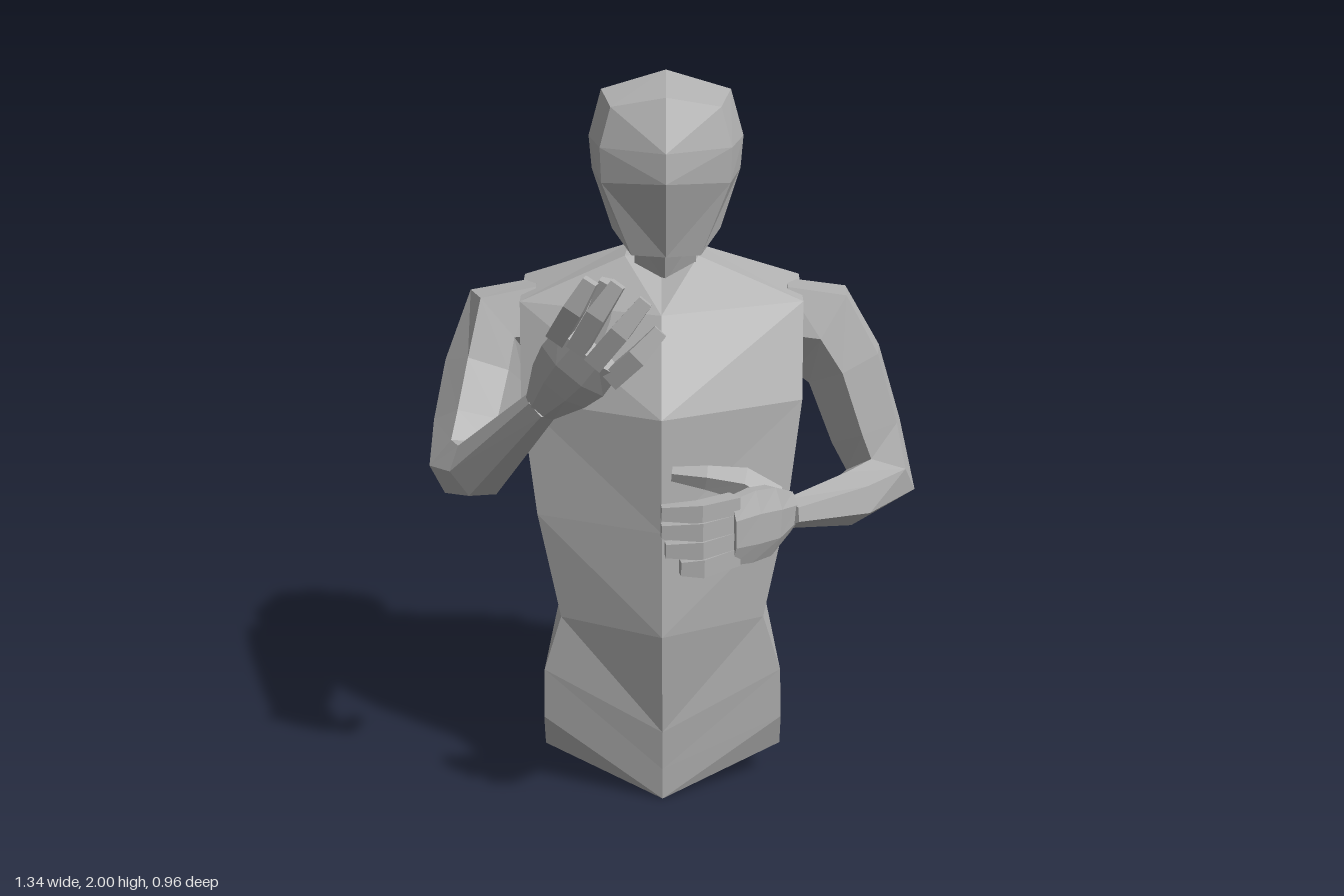
import * as THREE from 'three';

const V = (x, y, z) => new THREE.Vector3(x, y, z);
const skin = new THREE.MeshStandardMaterial({ color: 0xb0b0b0 });
skin.name = 'grey clay';

// Joins rings of points into a closed, faceted surface with fan caps
function skinRings(name, rings, startTip, endTip) {
  const pos = [];
  const tri = (...pts) => pts.forEach(p => pos.push(p.x, p.y, p.z));
  const mean = r => r.reduce((s, p) => s.add(p), V(0, 0, 0)).divideScalar(r.length);
  const first = rings[0], last = rings[rings.length - 1], n = first.length;
  const c0 = startTip || mean(first), c1 = endTip || mean(last);
  for (let i = 0; i < n; i++) {
    const j = (i + 1) % n;
    tri(c0, first[j], first[i]);
    for (let k = 0; k < rings.length - 1; k++) {
      const a = rings[k], b = rings[k + 1];
      // The diagonal flips on the second half so both sides mirror
      if (i < n / 2) {
        tri(a[i], a[j], b[j]);
        tri(a[i], b[j], b[i]);
      } else {
        tri(a[i], a[j], b[i]);
        tri(a[j], b[j], b[i]);
      }
    }
    tri(c1, last[i], last[j]);
  }
  const geo = new THREE.BufferGeometry();
  geo.setAttribute('position', new THREE.Float32BufferAttribute(pos, 3));
  geo.computeVertexNormals();
  const mesh = new THREE.Mesh(geo, skin);
  mesh.name = name;
  return mesh;
}

// Limb swept along a path: each stop is [x, y, z, radius along ref, other radius]
function limb(name, stops, sides, ref, turn = 0) {
  const c = stops.map(s => V(s[0], s[1], s[2]));
  let normal = ref.clone();
  const rings = stops.map((s, i) => {
    const t = c[Math.min(i + 1, c.length - 1)].clone().sub(c[Math.max(i - 1, 0)]).normalize();
    normal = normal.clone().addScaledVector(t, -normal.dot(t)).normalize();
    const side = t.clone().cross(normal);
    return Array.from({ length: sides }, (_, k) => {
      const a = turn + k / sides * Math.PI * 2;
      return c[i].clone().addScaledVector(normal, Math.cos(a) * s[3])
        .addScaledVector(side, Math.sin(a) * (s[4] ?? s[3]));
    });
  });
  return skinRings(name, rings);
}

// Mirrored ring from half-section points [x, y, z], front centre to back centre
function mirrorRing(cx, half) {
  const left = half.map(p => V(cx + p[0], p[1], p[2]));
  const right = half.slice(1, -1).reverse().map(p => V(cx - p[0], p[1], p[2]));
  return [...left, ...right];
}

// Palm, four fingers and thumb
function hand(name, palm, across, bases, mids, tips, thumb) {
  const g = new THREE.Group();
  g.name = name;
  g.add(limb('palm', palm, 8, across, Math.PI / 8));
  bases.forEach((b, i) => g.add(limb('finger', [
    [...b, 0.035, 0.033], [...mids[i], 0.034, 0.031], [...tips[i], 0.025, 0.019],
  ], 4, across, Math.PI / 4)));
  g.add(limb('thumb', thumb, 5, across));
  return g;
}

export function createModel() {
  const model = new THREE.Group();
  model.name = 'bust';

  // Torso: front centre, front corner, back corner, back centre
  const torso = [
    [[0, 0, .125], [.335, .105, -.01], [.325, .155, -.28], [0, .07, -.39]],
    [[0, .095, .128], [.335, .21, .03], [.31, .28, -.38], [0, .165, -.48]],
    [[0, .215, .135], [.33, .36, .035], [.3, .36, -.335], [0, .345, -.395]],
    [[0, .525, .18], [.28, .525, .04], [.285, .53, -.24], [0, .525, -.31]],
    [[0, .82, .158], [.34, .82, .015], [.365, .8, -.27], [0, .91, -.4]],
    [[0, 1.13, .14], [.38, 1.13, -.04], [.395, 1.15, -.34], [0, 1.2, -.43]],
    [[0, 1.37, -.02], [.385, 1.375, -.15], [.385, 1.4, -.355], [0, 1.43, -.36]],
    [[0, 1.45, -.17], [.1, 1.49, -.2], [.09, 1.5, -.31], [0, 1.47, -.345]],
  ].map(r => mirrorRing(-.035, r));
  model.add(skinRings('torso', torso, V(-.035, .03, -.14)));

  // Neck leaning forward into the skull
  const neck = [
    [[0, 1.43, -.15], [.085, 1.45, -.19], [.08, 1.45, -.31], [0, 1.45, -.35]],
    [[0, 1.54, -.11], [.08, 1.55, -.16], [.075, 1.56, -.27], [0, 1.57, -.305]],
    [[0, 1.68, -.06], [.1, 1.7, -.12], [.09, 1.71, -.23], [0, 1.71, -.265]],
  ].map(r => mirrorRing(-.025, r));
  model.add(skinRings('neck', neck));

  // Head: rings from jaw to crown
  const head = [
    [[0, 1.55, .07], [.09, 1.55, .045], [.142, 1.6, -.05], [.1, 1.66, -.19], [0, 1.68, -.255]],
    [[0, 1.75, .13], [.165, 1.74, .05], [.195, 1.75, -.1], [.145, 1.76, -.26], [0, 1.77, -.32]],
    [[0, 1.825, .12], [.168, 1.83, .05], [.202, 1.835, -.1], [.152, 1.835, -.275], [0, 1.83, -.325]],
    [[0, 1.955, .05], [.14, 1.93, .035], [.168, 1.955, -.1], [.14, 1.93, -.26], [0, 1.96, -.275]],
  ].map(r => mirrorRing(-.022, r));
  model.add(skinRings('head', head, V(-.022, 1.58, -.06), V(-.022, 2, -.13)));

  // Arms, from inside the shoulder to the wrist
  const up = V(0, 1, 0);
  model.add(limb('leftArm', [
    [.3, 1.28, -.255, .14, .1], [.405, 1.27, -.25, .15, .11], [.475, 1.17, -.245, .12, .115],
    [.54, .98, -.22, .11, .105], [.58, .855, -.16, .1, .095], [.48, .845, -.035, .075], [.285, .895, .205, .055, .038],
  ], 6, up, Math.PI / 6));
  model.add(limb('rightArm', [
    [-.37, 1.28, -.26, .14, .1], [-.475, 1.27, -.255, .15, .11], [-.525, 1.16, -.2, .115],
    [-.553, 1.03, -.1, .11], [-.565, .95, 0, .1], [-.525, .98, .1, .082], [-.33, 1.225, .28, .045],
  ], 6, up, Math.PI / 6));

  // Left hand, held flat across the waist
  const rows = [.985, .94, .893, .848];
  model.add(hand('leftHand',
    [[.295, .9, .195, .06, .035], [.24, .905, .275, .1, .045], [.19, .915, .335, .105, .04], [.135, .915, .38, .095, .032]],
    up,
    rows.map(y => [.15, y, .365]),
    rows.map((y, i) => [.06, y + .004, .43 + i * .008]),
    rows.map((y, i) => [[-.035, -.035, -.025, .012][i], y + .006, .44 + i * .008]),
    [[.25, .94, .235, .05], [.17, .995, .24, .045], [.08, 1.012, .245, .033], [-.008, 1.02, .24, .02]]));

  // Right hand, raised before the chin
  model.add(hand('rightHand',
    [[-.335, 1.22, .28, .048, .035], [-.28, 1.3, .34, .09, .045], [-.245, 1.35, .38, .105, .04], [-.205, 1.405, .41, .1, .032]],
    V(.13, -.085, .03).normalize(),
    [[-.285, 1.43, .39], [-.235, 1.41, .415], [-.195, 1.375, .42], [-.155, 1.33, .41]],
    [[-.24, 1.515, .435], [-.185, 1.505, .45], [-.13, 1.46, .45], [-.09, 1.395, .435]],
    [[-.2, 1.585, .445], [-.135, 1.58, .455], [-.07, 1.535, .445], [-.035, 1.455, .425]],
    [[-.29, 1.28, .305, .05], [-.235, 1.37, .295, .045], [-.19, 1.46, .295, .033], [-.165, 1.55, .31, .023]]));

  return model;
}
